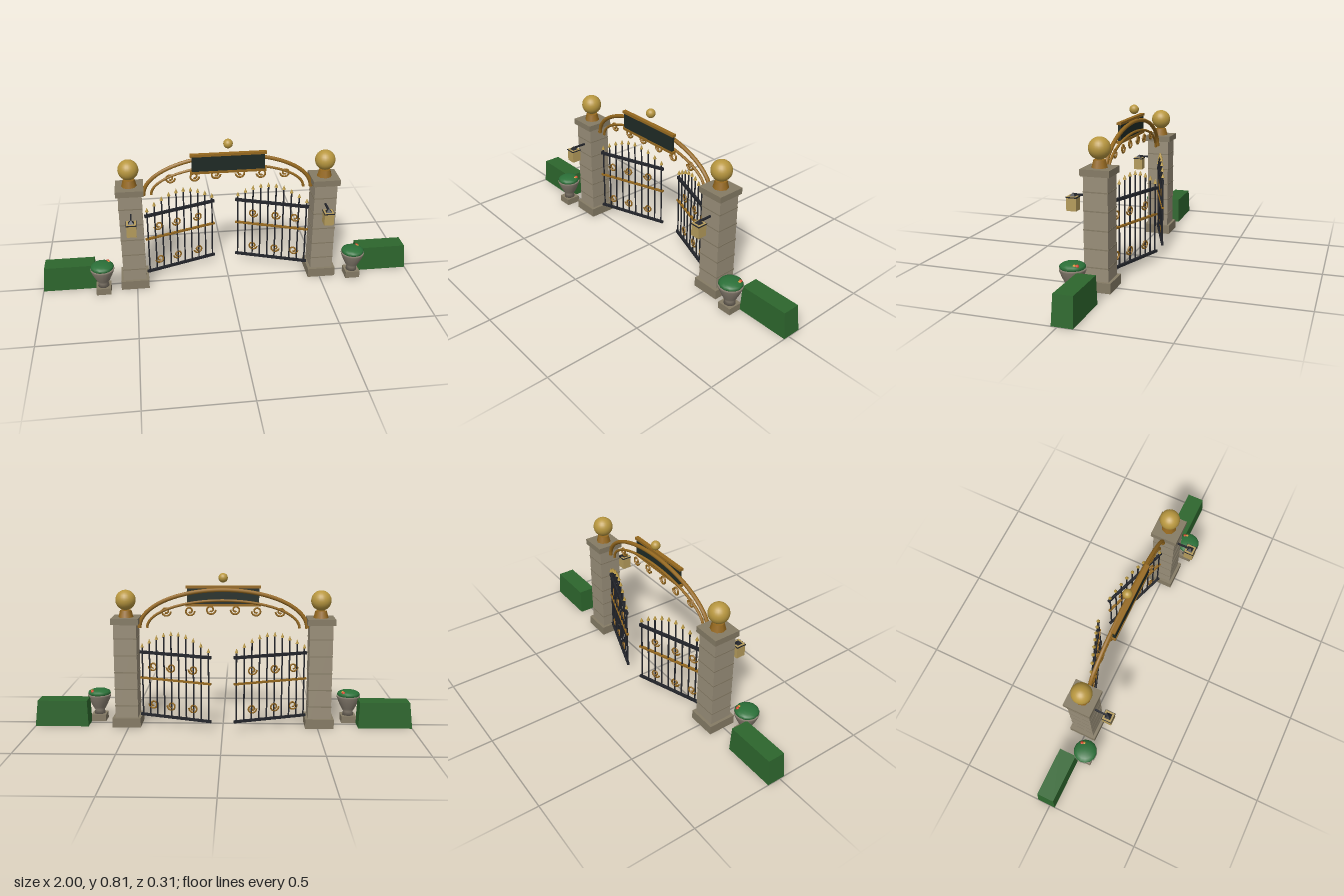
import * as THREE from 'three';

const mat = (color) => new THREE.MeshStandardMaterial({ color });
const stone = mat(0x998e79), trim = mat(0x857b65), iron = mat(0x23252b), gold = mat(0xb8973f);
const bronze = mat(0x96691f), panel = mat(0x1f2a25), green = mat(0x2d662d), leafGreen = mat(0x2b7038);
const glass = mat(0xb59c5c), urnStone = mat(0x8a8072), red = mat(0xd0402a), amber = mat(0xd09030);

function add(parent, name, geometry, material, x = 0, y = 0, z = 0) {
  const mesh = new THREE.Mesh(geometry, material);
  mesh.name = name;
  mesh.position.set(x, y, z);
  parent.add(mesh);
  return mesh;
}

function group(parent, name, x = 0, y = 0, z = 0) {
  const g = new THREE.Group();
  g.name = name;
  g.position.set(x, y, z);
  parent.add(g);
  return g;
}

const box = (w, h, d) => new THREE.BoxGeometry(w, h, d);

// Curl winding inwards from a loose outer tail
function scrollGeometry(side, radius, tube) {
  const pts = [];
  for (let i = 0; i <= 18; i++) {
    const t = i / 18, a = Math.PI * (1 - 2.7 * t), r = radius * (1 - 0.72 * t);
    pts.push(new THREE.Vector3(-side * r * Math.cos(a), -r * Math.sin(a), 0));
  }
  return new THREE.TubeGeometry(new THREE.CatmullRomCurve3(pts), 36, tube, 6);
}

// Half-ellipse hoop spanning the two pillars
function archGeometry(a, b, tube) {
  const pts = [];
  for (let i = 0; i <= 24; i++) {
    const t = Math.PI * i / 24;
    pts.push(new THREE.Vector3(a * Math.cos(t), b * Math.sin(t), 0));
  }
  return new THREE.TubeGeometry(new THREE.CatmullRomCurve3(pts), 64, tube, 8);
}

function addPillar(parent, s) {
  const g = group(parent, 'pillar', s * 0.51, 0, -0.01);
  add(g, 'pillarShaft', box(0.12, 0.55, 0.12), stone, 0, 0.275, 0);
  add(g, 'pillarBase', box(0.15, 0.05, 0.15), trim, 0, 0.025, 0);
  add(g, 'pillarCap', box(0.144, 0.032, 0.144), trim, 0, 0.566, 0);
  for (let i = 0; i < 5; i++) add(g, 'masonryJoint', box(0.123, 0.006, 0.123), trim, 0, 0.115 + i * 0.09, 0);
  add(g, 'finialCollar', new THREE.CylinderGeometry(0.03, 0.04, 0.037, 8), bronze, 0, 0.6, 0);
  add(g, 'finialBall', new THREE.SphereGeometry(0.053, 24, 16), gold, 0, 0.672, 0);
}

function addLantern(parent, s) {
  const g = group(parent, 'lantern', s * 0.51, 0, 0.125);
  add(g, 'lanternArm', box(0.009, 0.009, 0.08), iron, 0, 0.445, -0.037);
  add(g, 'lanternBody', box(0.05, 0.069, 0.05), glass, 0, 0.4025, 0);
  add(g, 'lanternRim', box(0.055, 0.005, 0.055), iron, 0, 0.433, 0);
  const roof = add(g, 'lanternRoof', new THREE.ConeGeometry(0.023, 0.018, 4).toNonIndexed(), iron, 0, 0.445, 0);
  roof.geometry.computeVertexNormals();
  roof.rotation.y = Math.PI / 4;
}

// Leaf hung at the pillar, running towards the middle and swung backwards
function addLeaf(parent, s) {
  const L = 0.405;
  const g = group(parent, 'gateLeaf', s * 0.44, 0, -0.015);
  g.rotation.y = -s * 0.345;
  add(g, 'bottomRail', box(L, 0.013, 0.013), iron, -s * L / 2, 0.056, 0);
  add(g, 'topRail', box(L, 0.015, 0.013), iron, -s * L / 2, 0.396, 0);
  add(g, 'middleRail', box(L, 0.01, 0.013), bronze, -s * L / 2, 0.257, 0);
  for (let i = 0; i < 10; i++) {
    const x = -s * (0.0135 + 0.042 * i), tip = 0.445 + 0.075 * Math.sin(Math.PI * i / 9);
    const h = tip - 0.022 - 0.05;
    add(g, 'picket', new THREE.CylinderGeometry(0.0042, 0.0042, h, 8), iron, x, 0.05 + h / 2, 0);
    add(g, 'spearTip', new THREE.ConeGeometry(0.0095, 0.024, 8), gold, x, tip - 0.012, 0);
  }
  const curl = scrollGeometry(s, 0.026, 0.0045);
  for (const x of [0.075, 0.18, 0.305])
    for (const y of [0.118, 0.324]) add(g, 'leafScroll', curl, bronze, -s * x, y, 0);
}

function addUrn(parent, s) {
  const g = group(parent, 'urn', s * 0.678, 0, 0.062);
  add(g, 'urnPlinth', box(0.078, 0.037, 0.078), trim, 0, 0.0185, 0);
  const profile = [[0, 0.037], [0.03, 0.037], [0.026, 0.058], [0.036, 0.075], [0.052, 0.108], [0.063, 0.137], [0.063, 0.145], [0, 0.145]];
  add(g, 'urnBowl', new THREE.LatheGeometry(profile.map(p => new THREE.Vector2(...p)), 20), urnStone);
  const plant = add(g, 'urnPlanting', new THREE.SphereGeometry(0.062, 14, 8), leafGreen, 0, 0.152, 0);
  plant.scale.y = 0.37;
  add(g, 'redFlower', new THREE.SphereGeometry(0.01, 10, 8), red, 0.03, 0.163, -0.034);
  add(g, 'amberFlower', new THREE.SphereGeometry(0.009, 10, 8), amber, 0.034, 0.164, -0.022);
}

// Clipped hedge, narrowing a little towards the top
function addHedge(parent, s) {
  const geo = box(0.284, 0.139, 0.1), p = geo.attributes.position;
  for (let i = 0; i < p.count; i++) {
    if (p.getY(i) < 0) continue;
    const outer = p.getX(i) * s > 0;
    p.setX(i, p.getX(i) - s * (outer ? 0.016 : -0.006));
    p.setZ(i, p.getZ(i) * 0.93);
  }
  geo.computeVertexNormals();
  add(parent, 'hedge', geo, green, s * 0.858, 0.0695, -0.021);
}

function addArch(parent) {
  const g = group(parent, 'archway', 0, 0, -0.01);
  add(g, 'outerArch', archGeometry(0.44, 0.2, 0.0105), bronze, 0, 0.525, 0);
  add(g, 'innerArch', archGeometry(0.4, 0.145, 0.007), bronze, 0, 0.525, 0);
  for (const s of [-1, 1]) {
    const curl = scrollGeometry(-s, 0.027, 0.005);
    for (const [x, y] of [[0.3, 0.612], [0.175, 0.615], [0.065, 0.622]]) add(g, 'archScroll', curl, bronze, s * x, y, 0);
  }
  add(g, 'crownBall', new THREE.SphereGeometry(0.0245, 20, 14), gold, 0, 0.789, 0);
  const sign = group(g, 'signBoard', 0, 0, 0.016);
  add(sign, 'signPanel', box(0.376, 0.085, 0.016), panel, 0, 0.692, 0);
  for (const y of [0.739, 0.645]) add(sign, 'signRail', box(0.394, 0.013, 0.022), bronze, 0, y, 0);
}

export function createModel() {
  const model = new THREE.Group();
  model.name = 'gateway';
  for (const s of [-1, 1]) {
    const side = group(model, s > 0 ? 'leftSide' : 'rightSide');
    addPillar(side, s);
    addLantern(side, s);
    addLeaf(side, s);
    addUrn(side, s);
    addHedge(side, s);
  }
  addArch(model);
  return model;
}
